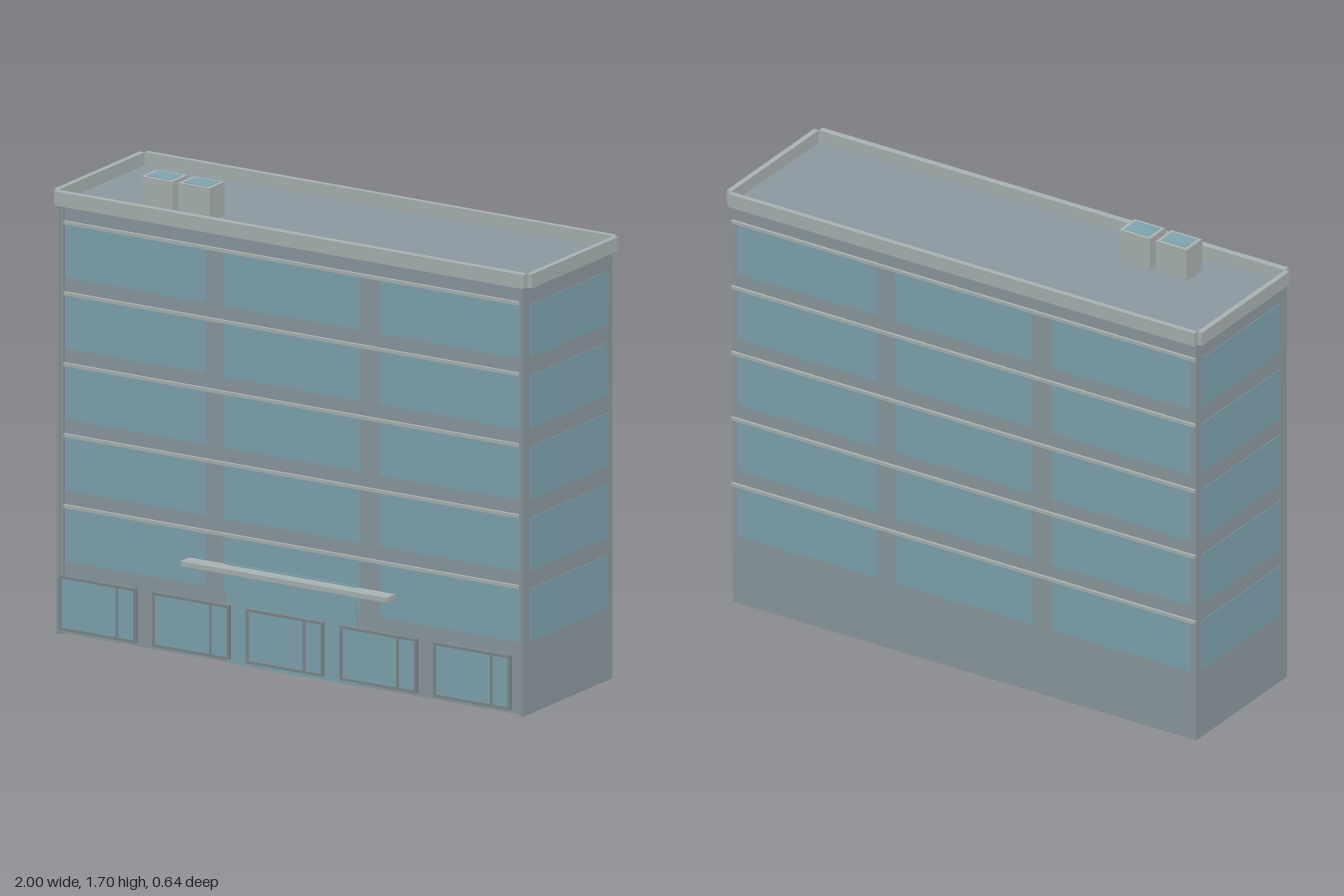
import * as THREE from 'three';

const wallMat = new THREE.MeshStandardMaterial({ color: 0x8d9aa1 });
const trimMat = new THREE.MeshStandardMaterial({ color: 0xaab3b3 });
const glassMat = new THREE.MeshStandardMaterial({ color: 0x7fa5b1 });
const frameMat = new THREE.MeshStandardMaterial({ color: 0x7d898c });

// Box given by its extents on each axis
function box(parent, name, mat, [x0, x1], [y0, y1], [z0, z1]) {
  const mesh = new THREE.Mesh(new THREE.BoxGeometry(x1 - x0, y1 - y0, z1 - z0), mat);
  mesh.position.set((x0 + x1) / 2, (y0 + y1) / 2, (z0 + z1) / 2);
  mesh.name = name;
  parent.add(mesh);
  return mesh;
}

function group(parent, name) {
  const g = new THREE.Group();
  g.name = name;
  parent.add(g);
  return g;
}

// Shop window: four frame bars, an off-centre mullion and a glass pane
function shopWindow(parent, x) {
  const g = group(parent, 'shopWindow');
  const w = 0.161, t = 0.01, z = [0.306, 0.319], y = [0.028, 0.228];
  box(g, 'frameLeft', frameMat, [x + w - t, x + w], y, z);
  box(g, 'frameRight', frameMat, [x - w, x - w + t], y, z);
  box(g, 'frameTop', frameMat, [x - w + t, x + w - t], [y[1] - t, y[1]], z);
  box(g, 'frameBottom', frameMat, [x - w + t, x + w - t], [y[0], y[0] + t], z);
  box(g, 'mullion', frameMat, [x + 0.077, x + 0.086], [y[0] + t, y[1] - t], z);
  box(g, 'pane', glassMat, [x - w + t, x + w - t], [y[0] + t, y[1] - t], [0.31, 0.315]);
}

export function createModel() {
  const model = new THREE.Group();
  model.name = 'officeBuilding';
  const W = 0.975, F = 0.262, B = -0.3, roofY = 1.57, topY = 1.622, skin = 0.002;

  box(model, 'body', wallMat, [-W, W], [0, roofY], [B, F]);

  // Slim stepped pilasters on the front corners
  for (const s of [-1, 1]) {
    const span = (a, b) => (s > 0 ? [a, b] : [-b, -a]);
    box(model, 'cornerPilaster', wallMat, span(0.953, W), [0, roofY], [F, 0.275]);
    box(model, 'cornerPilasterEdge', wallMat, span(0.964, W), [0, roofY], [0.275, 0.285]);
  }

  // Five upper floors: windows on all sides, ledges front and back
  const bays = [[-0.952, -0.365], [-0.288, 0.288], [0.365, 0.952]];
  for (let i = 0; i < 5; i++) {
    const floor = group(model, 'floor' + (i + 1));
    const y = 0.265 + i * 0.26;
    const rows = [y, y + 0.195];
    for (const bay of bays) {
      box(floor, 'frontWindow', glassMat, bay, rows, [F - 0.004, F + skin]);
      box(floor, 'backWindow', glassMat, bay, rows, [B - skin, B + 0.004]);
    }
    box(floor, 'leftWindow', glassMat, [W - 0.004, W + skin], rows, [-0.265, 0.235]);
    box(floor, 'rightWindow', glassMat, [-W - skin, -W + 0.004], rows, [-0.265, 0.235]);
    const ledge = [y + 0.197, y + 0.209];
    box(floor, 'frontLedge', trimMat, [-W, W], ledge, [F, 0.273]);
    box(floor, 'backLedge', trimMat, [-W, W], ledge, [B - 0.01, B]);
  }

  // Roof slab and parapet with notched corners
  const roof = group(model, 'roof');
  box(roof, 'roofDeck', wallMat, [-0.98, 0.98], [roofY, roofY + 0.004], [B, F]);
  box(roof, 'parapetFront', trimMat, [-0.98, 0.98], [roofY, topY], [F, 0.287]);
  box(roof, 'parapetBack', trimMat, [-0.98, 0.98], [roofY, topY], [-0.32, B]);
  for (const s of [-1, 1]) {
    box(roof, 'parapetSide', trimMat, s > 0 ? [0.98, 1] : [-1, -0.98], [roofY, topY], [B, F]);
  }

  // Rooftop units with a glazed top
  for (const x of [-0.622, -0.467]) {
    const unit = group(roof, 'rooftopUnit');
    box(unit, 'unitCase', trimMat, [x - 0.065, x + 0.065], [roofY, 1.697], [0.08, 0.18]);
    box(unit, 'unitTop', glassMat, [x - 0.05, x + 0.05], [1.69, 1.699], [0.093, 0.167]);
  }

  // Entrance glazing, canopy and row of shop windows
  box(model, 'entranceGlass', glassMat, [-0.272, 0.27], [0, 0.365], [F, 0.27]);
  box(model, 'canopy', trimMat, [-0.433, 0.43], [0.342, 0.36], [F, 0.32]);
  for (let i = -2; i <= 2; i++) shopWindow(model, i * 0.3915);

  return model;
}
